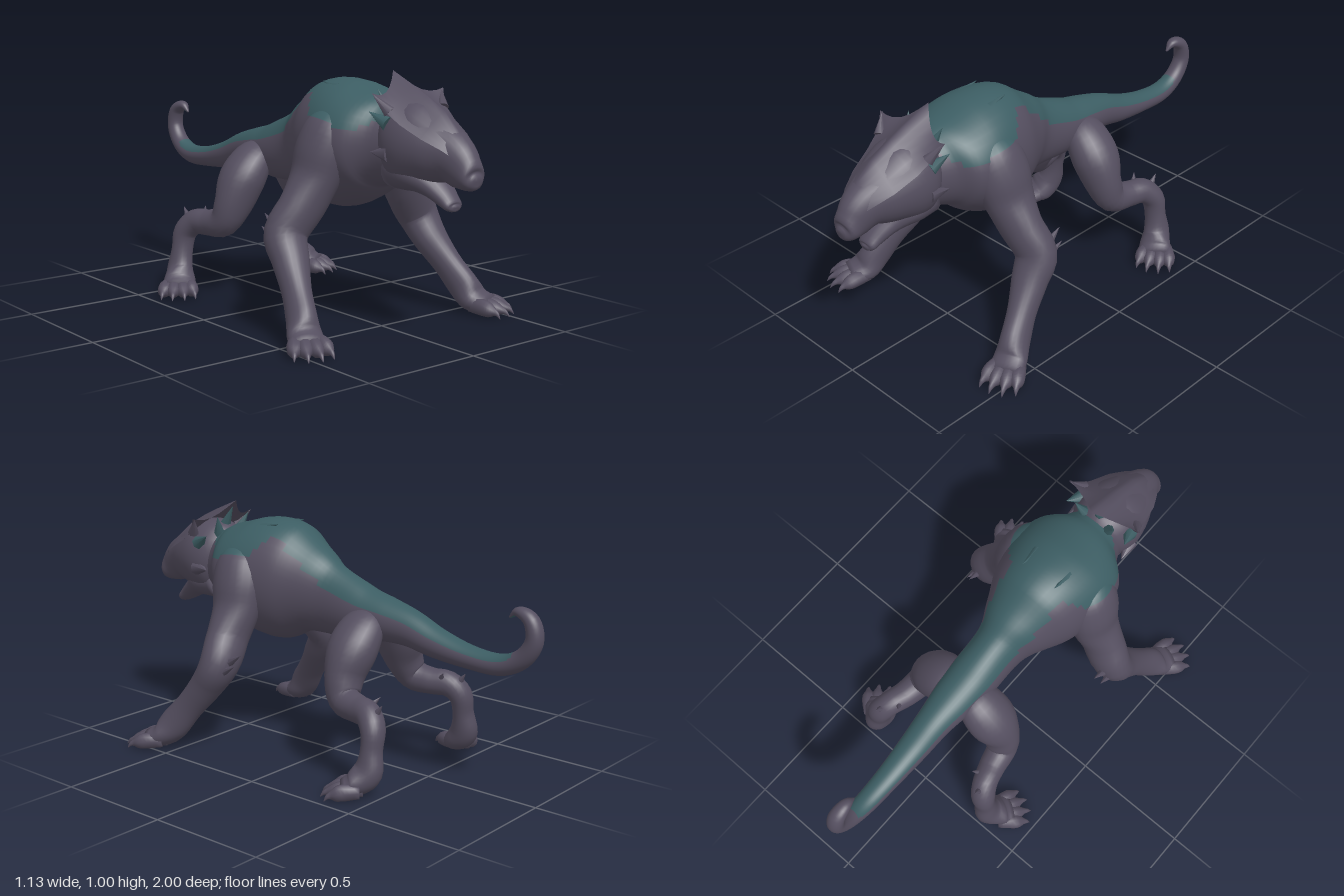
import * as THREE from 'three';

const hide = new THREE.MeshStandardMaterial({ color: 0x544e5f });
hide.name = 'dark hide';
const teal = new THREE.MeshStandardMaterial({ color: 0x3c5d63 });
teal.name = 'teal back';
const hideThin = hide.clone();
hideThin.side = THREE.DoubleSide;

// Smooth skin through elliptical sections [x, y, z, halfWidth, halfDepth].
// paint(point, upness) picks the teal faces.
function loft(name, sections, steps = 4, n = 20, paint = null) {
  const path = new THREE.CatmullRomCurve3(sections.map(s => new THREE.Vector3(s[0], s[1], s[2])), false, 'catmullrom');
  const size = new THREE.CatmullRomCurve3(sections.map(s => new THREE.Vector3(s[3], s[4], 0)), false, 'catmullrom');
  const rows = (sections.length - 1) * steps;
  const pos = [], dark = [], light = [];
  for (let i = 0; i <= rows; i++) {
    const t = i / rows, c = path.getPoint(t), r = size.getPoint(t), d = path.getTangent(t);
    const side = new THREE.Vector3(1, 0, 0).addScaledVector(d, -d.x).normalize();
    const up = d.clone().cross(side);
    for (let j = 0; j < n; j++) {
      const a = j / n * Math.PI * 2;
      const p = c.clone().addScaledVector(side, Math.cos(a) * Math.max(r.x, 0.001))
        .addScaledVector(up, Math.sin(a) * Math.max(r.y, 0.001));
      pos.push(p.x, p.y, p.z);
    }
  }
  for (let i = 0; i < rows; i++) for (let j = 0; j < n; j++) {
    const k = (j + 1) % n, a = i * n + j, b = i * n + k, c = b + n, d = a + n;
    const mid = new THREE.Vector3().fromArray(pos, a * 3).add(new THREE.Vector3().fromArray(pos, c * 3)).multiplyScalar(0.5);
    const upness = Math.sin((j + 0.5) / n * Math.PI * 2);
    (paint && paint(mid, upness) ? light : dark).push(a, b, c, a, c, d);
  }
  // End caps
  for (const [row, flip] of [[0, true], [rows, false]]) {
    const c = path.getPoint(row / rows), m = pos.length / 3;
    pos.push(c.x, c.y, c.z);
    for (let j = 0; j < n; j++) {
      const a = row * n + j, b = row * n + (j + 1) % n;
      dark.push(m, ...(flip ? [b, a] : [a, b]));
    }
  }
  const g = new THREE.BufferGeometry();
  g.setAttribute('position', new THREE.Float32BufferAttribute(pos, 3));
  g.setIndex([...dark, ...light]);
  g.addGroup(0, dark.length, 0);
  g.addGroup(dark.length, light.length, 1);
  g.computeVertexNormals();
  const mesh = new THREE.Mesh(g, paint ? [hide, teal] : hide);
  mesh.name = name;
  return mesh;
}

function spike(name, from, to, radius, material = hide) {
  const a = new THREE.Vector3(...from), d = new THREE.Vector3(...to).sub(a);
  const mesh = new THREE.Mesh(new THREE.ConeGeometry(radius, d.length(), 7), material);
  mesh.quaternion.setFromUnitVectors(new THREE.Vector3(0, 1, 0), d.clone().normalize());
  mesh.position.copy(a).addScaledVector(d, 0.5);
  mesh.name = name;
  return mesh;
}

// How far up the flank a face must lie to be teal, by z
const stripe = [[-1, 2], [-0.89, 2], [-0.88, 0.5], [-0.3, 0.45], [0, 0.52], [0.12, 0.74], [0.22, 0.8], [0.28, 0.55], [0.34, 0.36], [0.54, 0.38], [0.6, 0.7], [0.8, 0.9]];
function backPaint(p, upness) {
  let i = 1;
  while (i < stripe.length - 1 && stripe[i][0] < p.z) i++;
  const [z0, a] = stripe[i - 1], [z1, b] = stripe[i];
  return upness > THREE.MathUtils.mapLinear(p.z, z0, z1, a, b);
}

// Paw: broad toes fanned around a heading, each ending in a hooked claw
function paw(name, x, z, yaw, s, spread, length) {
  const g = new THREE.Group();
  g.name = name;
  for (let i = 0; i < 4; i++) {
    const u = i / 3 * 2 - 1, a = yaw + u * 0.26, len = length * (1 - 0.2 * u * u);
    const bx = x + Math.cos(yaw) * u * spread, bz = z - Math.sin(yaw) * u * spread;
    const at = (f, y, w, h) => [s * (bx + Math.sin(a) * len * f), y, bz + Math.cos(a) * len * f, w, h];
    g.add(loft('toe', [at(-0.6, 0.045, 0.026, 0.03), at(0.1, 0.043, 0.031, 0.034), at(0.5, 0.036, 0.027, 0.028),
      at(0.75, 0.032, 0.013, 0.015), at(0.9, 0.026, 0.008, 0.009), at(1.05, 0.01, 0.001, 0.001)], 3, 10));
  }
  return g;
}

// Ridged shield over the skull, flaring to two ear points and a central peak
function headShield() {
  const rows = [[0.95, 0.045, 0.752, 0.715], [0.9, 0.085, 0.822, 0.755], [0.83, 0.118, 0.882, 0.79], [0.74, 0.14, 0.93, 0.835], [0.67, 0.156, 0.962, 0.885], [0.635, 0.18, 0.982, 0.943]];
  const cols = 12, pos = [], idx = [];
  rows.forEach(([z, w, ridge, edge], i) => {
    const back = i === rows.length - 1;
    for (let j = 0; j <= cols; j++) {
      const u = j / cols * 2 - 1, a = Math.abs(u);
      const peak = back ? Math.pow(1 - a, 2) : 0;
      const sag = Math.sin(a * Math.PI) * (back ? 0.03 : 0.006 * (i - 2));
      pos.push(u * w, THREE.MathUtils.lerp(ridge, edge, Math.pow(a, 1.3 - i * 0.06)) - sag + peak * 0.03, z - peak * 0.085);
      if (i && j) {
        const d = i * (cols + 1) + j, c = d - 1, b = d - cols - 1, e = b - 1;
        idx.push(e, b, d, e, d, c);
      }
    }
  });
  const g = new THREE.BufferGeometry();
  g.setAttribute('position', new THREE.Float32BufferAttribute(pos, 3));
  g.setIndex(idx);
  g.computeVertexNormals();
  const m = new THREE.Mesh(g, hideThin);
  m.name = 'headShield';
  return m;
}

export function createModel() {
  const model = new THREE.Group();
  model.name = 'beast';

  // Body from tail tip to neck
  model.add(loft('bodyAndTail', [
    [0, 0.725, -0.855, 0.004, 0.004], [0, 0.752, -0.895, 0.024, 0.02], [0, 0.725, -0.95, 0.034, 0.03],
    [0, 0.65, -0.965, 0.036, 0.035], [0, 0.575, -0.915, 0.04, 0.038], [0, 0.535, -0.82, 0.045, 0.042],
    [0, 0.54, -0.68, 0.052, 0.046], [0, 0.567, -0.53, 0.063, 0.06], [0, 0.605, -0.4, 0.073, 0.075],
    [0, 0.622, -0.28, 0.09, 0.092], [0, 0.628, -0.16, 0.1, 0.12], [0, 0.66, 0, 0.105, 0.15],
    [0, 0.685, 0.1, 0.15, 0.19], [0, 0.7, 0.2, 0.2, 0.245], [0, 0.715, 0.3, 0.225, 0.255],
    [0, 0.73, 0.4, 0.235, 0.232], [0, 0.74, 0.49, 0.215, 0.19], [0, 0.738, 0.56, 0.145, 0.16],
    [0, 0.735, 0.66, 0.105, 0.13]], 5, 40, backPaint));

  // Head with open mouth
  const head = new THREE.Group();
  head.name = 'head';
  head.add(
    loft('skull', [[0, 0.75, 0.57, 0.09, 0.12], [0, 0.755, 0.63, 0.138, 0.16], [0, 0.75, 0.71, 0.148, 0.165],
      [0, 0.735, 0.8, 0.124, 0.128], [0, 0.715, 0.88, 0.084, 0.098], [0, 0.675, 0.94, 0.062, 0.075],
      [0, 0.65, 0.978, 0.054, 0.046], [0, 0.647, 1.0, 0.02, 0.018]], 4, 28),
    loft('lowerJaw', [[0, 0.66, 0.61, 0.11, 0.09], [0, 0.645, 0.71, 0.115, 0.076], [0, 0.605, 0.79, 0.074, 0.048],
      [0, 0.564, 0.85, 0.05, 0.034], [0, 0.54, 0.885, 0.04, 0.022], [0, 0.537, 0.898, 0.012, 0.008]], 4, 20),
    headShield());
  for (const s of [-1, 1]) head.add(
    spike('earPoint', [s * 0.135, 0.875, 0.68], [s * 0.174, 0.942, 0.63], 0.024),
    spike('cheekSpine', [s * 0.125, 0.83, 0.66], [s * 0.15, 0.87, 0.585], 0.03, teal),
    spike('cheekSpine', [s * 0.125, 0.72, 0.67], [s * 0.148, 0.72, 0.59], 0.035),
    spike('neckSpine', [s * 0.055, 0.86, 0.6], [s * 0.095, 0.95, 0.57], 0.028, teal));
  head.add(spike('crestBack', [0, 0.88, 0.63], [0, 0.985, 0.57], 0.03, teal));
  model.add(head);

  // Legs, mirrored
  for (const s of [-1, 1]) {
    const side = s > 0 ? 'left' : 'right';
    const flip = list => list.map(([x, ...r]) => [s * x, ...r]);
    model.add(
      loft(side + 'FrontLeg', flip([[0.1, 0.865, 0.38, 0.04, 0.05], [0.138, 0.79, 0.375, 0.1, 0.11], [0.178, 0.7, 0.36, 0.107, 0.122],
        [0.215, 0.6, 0.35, 0.092, 0.105], [0.27, 0.5, 0.345, 0.095, 0.083], [0.34, 0.395, 0.33, 0.09, 0.078],
        [0.36, 0.3, 0.385, 0.075, 0.068], [0.39, 0.2, 0.46, 0.056, 0.062], [0.418, 0.115, 0.525, 0.056, 0.068],
        [0.438, 0.064, 0.57, 0.07, 0.052], [0.465, 0.045, 0.63, 0.066, 0.034]]), 4, 24, p => p.y > 0.825 && Math.abs(p.x) < 0.22),
      paw(side + 'FrontPaw', 0.458, 0.615, 0.42, s, 0.05, 0.112),
      spike('elbowSpine', [s * 0.35, 0.4, 0.29], [s * 0.345, 0.455, 0.2], 0.026),
      spike('elbowSpine', [s * 0.37, 0.37, 0.29], [s * 0.372, 0.41, 0.215], 0.022),
      loft(side + 'HindLeg', flip([[0.03, 0.63, -0.225, 0.04, 0.06], [0.085, 0.595, -0.225, 0.075, 0.095], [0.15, 0.51, -0.222, 0.095, 0.104],
        [0.195, 0.41, -0.222, 0.085, 0.076], [0.225, 0.335, -0.25, 0.064, 0.066], [0.243, 0.318, -0.33, 0.056, 0.056],
        [0.265, 0.314, -0.4, 0.052, 0.054], [0.29, 0.268, -0.445, 0.052, 0.048], [0.305, 0.19, -0.45, 0.047, 0.043],
        [0.32, 0.11, -0.447, 0.053, 0.06], [0.345, 0.062, -0.41, 0.07, 0.052], [0.375, 0.044, -0.37, 0.064, 0.034]]), 4, 24),
      paw(side + 'HindPaw', 0.37, -0.388, 0.55, s, 0.05, 0.102),
      spike('hockSpine', [s * 0.275, 0.305, -0.43], [s * 0.275, 0.37, -0.478], 0.026),
      spike('hockSpine', [s * 0.235, 0.33, -0.38], [s * 0.205, 0.375, -0.415], 0.02));
    // Ragged tufts over the shoulder blades
    for (const [x, z] of [[0.03, 0.34], [0.08, 0.32]])
      model.add(spike('backTuft', [s * x, 0.93, z], [s * x, 0.955, z - 0.09], 0.022, teal));
  }
  return model;
}
